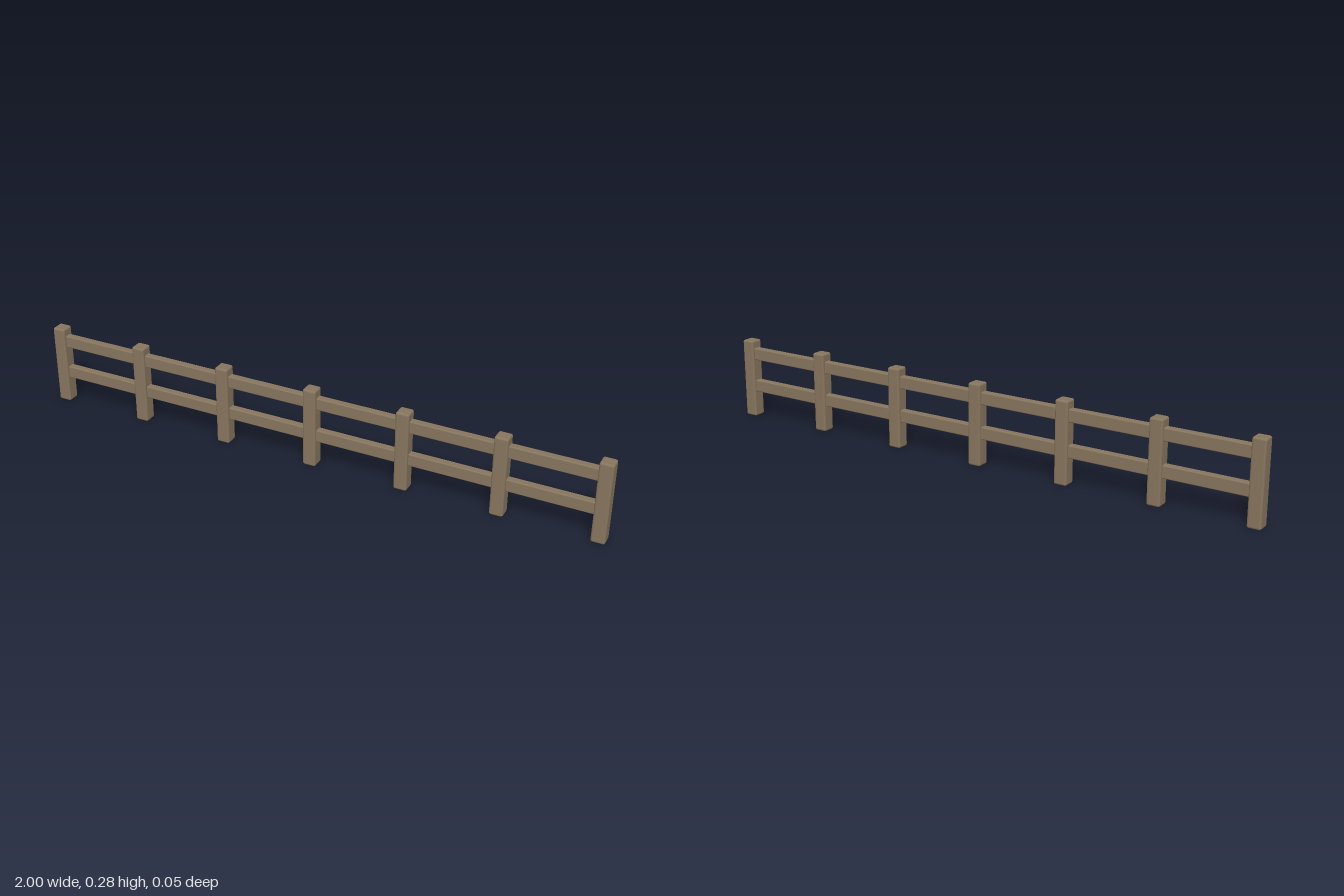
import * as THREE from 'three';
import { RoundedBoxGeometry } from 'three/addons/geometries/RoundedBoxGeometry.js';

const POSTS = 7;
const POST_WIDTH = 0.046;
const POST_HEIGHT = 0.28;
const SPACING = (2 - POST_WIDTH) / (POSTS - 1);

export function createModel() {
  const fence = new THREE.Group();
  fence.name = 'fence';
  const wood = new THREE.MeshStandardMaterial({ color: 0x87765e });
  wood.name = 'weathered wood';

  const add = (name, geometry, x, y) => {
    const mesh = new THREE.Mesh(geometry, wood);
    mesh.name = name;
    mesh.position.set(x, y, 0);
    fence.add(mesh);
  };

  // Upright posts with softened edges
  const postGeometry = new RoundedBoxGeometry(POST_WIDTH, POST_HEIGHT, POST_WIDTH, 2, 0.007);
  for (let i = 0; i < POSTS; i++) {
    add(`post${i + 1}`, postGeometry, (i - (POSTS - 1) / 2) * SPACING, POST_HEIGHT / 2);
  }

  // Two rows of rails, one length between each pair of posts
  const railGeometry = new RoundedBoxGeometry(SPACING, 0.043, 0.026, 2, 0.004);
  for (const [row, y] of [['lower', 0.113], ['upper', 0.231]]) {
    for (let i = 0; i < POSTS - 1; i++) {
      add(`${row}Rail${i + 1}`, railGeometry, (i - (POSTS - 2) / 2) * SPACING, y);
    }
  }
  return fence;
}
